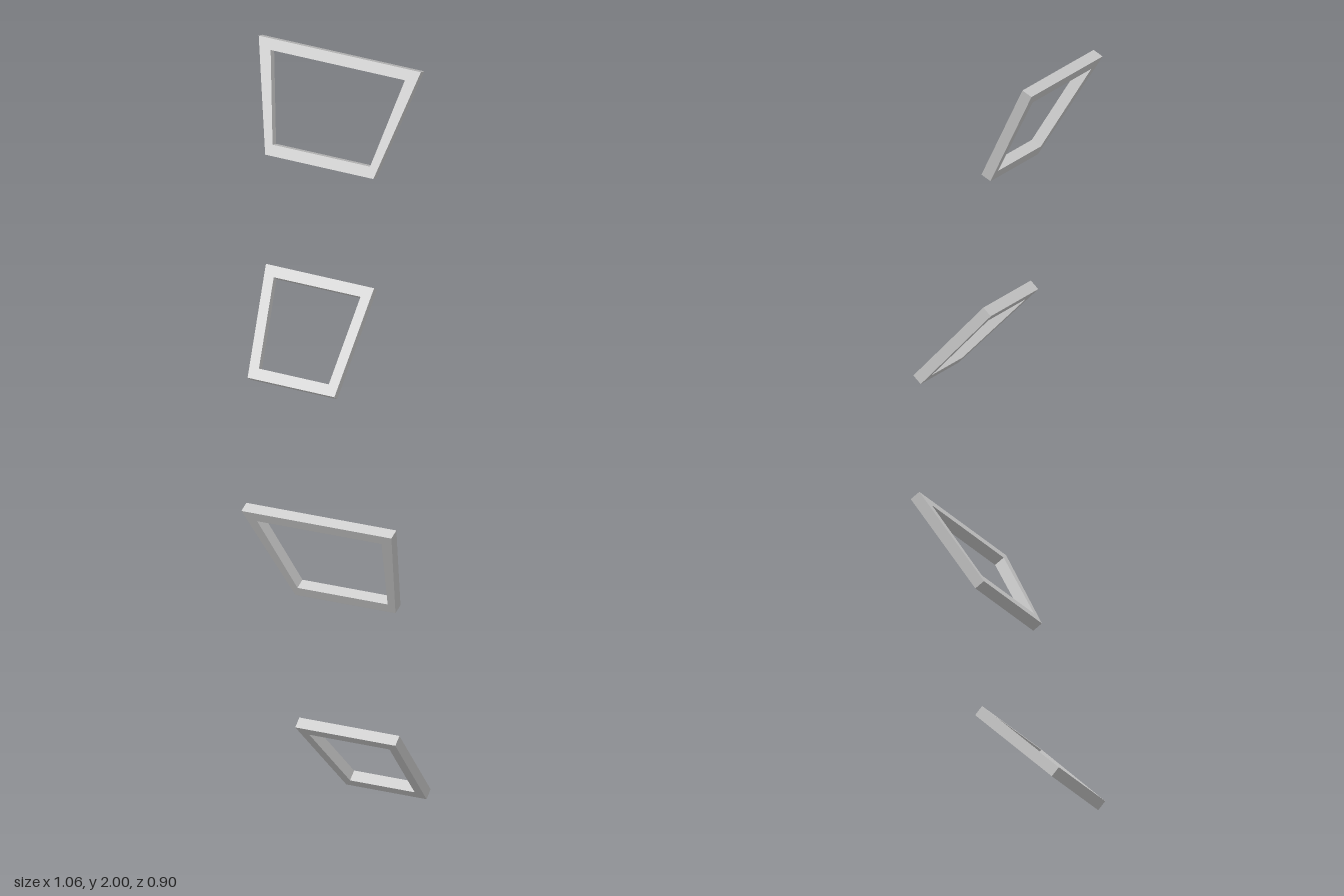
import * as THREE from 'three';

const LENGTH = 0.707; // slant length of each frame
const BAR = 0.07; // bar height and thickness

// Closed trapezoid outline, symmetric about x = 0
function trapezoid(PathType, halfBottom, halfTop, low, high) {
  const path = new PathType();
  path.moveTo(-halfBottom, low);
  path.lineTo(halfBottom, low);
  path.lineTo(halfTop, high);
  path.lineTo(-halfTop, high);
  path.closePath();
  return path;
}

// Tapered frame leaning back; its front bottom edge sits at (y, z)
function makeFrame({ name, outer, inner, lean, y, z }) {
  const shape = trapezoid(THREE.Shape, ...outer, 0, LENGTH);
  shape.holes.push(trapezoid(THREE.Path, ...inner, BAR, LENGTH - BAR));
  const geometry = new THREE.ExtrudeGeometry(shape, { depth: BAR, bevelEnabled: false });
  geometry.translate(0, 0, -BAR);
  const material = new THREE.MeshStandardMaterial({ color: 0xcccccc, flatShading: true });
  const mesh = new THREE.Mesh(geometry, material);
  mesh.name = name;
  mesh.rotation.x = -lean;
  mesh.position.set(0, y, z);
  return mesh;
}

export function createModel() {
  const model = new THREE.Group();
  model.name = 'framePair';
  model.add(
    // Wide upper frame, leaning 30 degrees
    makeFrame({
      name: 'upperFrame',
      outer: [0.353, 0.529],
      inner: [0.318, 0.438],
      lean: Math.PI / 6,
      y: 1.388,
      z: -0.037,
    }),
    // Narrow lower frame, leaning 45 degrees
    makeFrame({
      name: 'lowerFrame',
      outer: [0.283, 0.353],
      inner: [0.228, 0.283],
      lean: Math.PI / 4,
      y: 0.05,
      z: 0.45,
    }),
  );
  return model;
}
